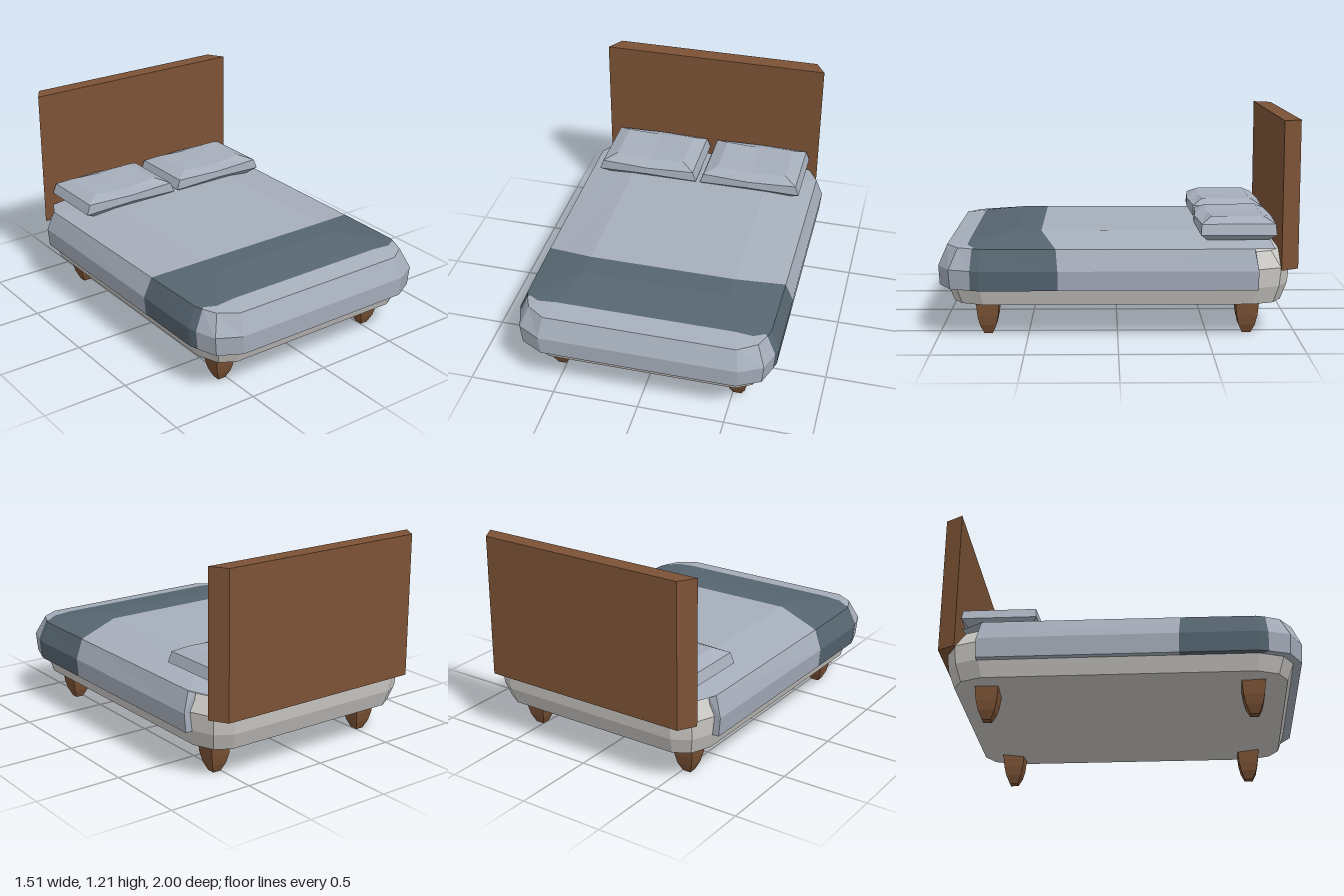
import * as THREE from 'three';

const mat = (name, color, side = THREE.FrontSide) =>
  new THREE.MeshStandardMaterial({ name, color, side, flatShading: true });

// Mesh from a flat list of triangle corners
function meshFrom(name, corners, material) {
  const g = new THREE.BufferGeometry();
  g.setAttribute('position', new THREE.Float32BufferAttribute(corners.flat(), 3));
  g.computeVertexNormals();
  const m = new THREE.Mesh(g, material);
  m.name = name;
  return m;
}

// Closed rings stacked from bottom to top, capped with fans
function loft(name, rings, bottom, top, material) {
  const t = [], n = rings[0].length;
  for (let j = 0; j < n; j++) {
    const k = (j + 1) % n;
    for (let i = 0; i < rings.length - 1; i++) {
      const a = rings[i][j], b = rings[i][k], c = rings[i + 1][k], d = rings[i + 1][j];
      t.push(a, d, c, a, c, b);
    }
    const last = rings[rings.length - 1];
    t.push(bottom, rings[0][j], rings[0][k], top, last[k], last[j]);
  }
  return meshFrom(name, t, material);
}

// Rectangle outline with two-step bevelled corners
function roundedRing(hx, hz, y, r) {
  const q = [[hx, hz - r], [hx - r * 0.28, hz - r * 0.3], [hx - r * 0.8, hz]];
  const m = q.slice().reverse();
  return [
    ...q.map(([x, z]) => [x, y, z]),
    ...m.map(([x, z]) => [-x, y, z]),
    ...q.map(([x, z]) => [-x, y, -z]),
    ...m.map(([x, z]) => [x, y, -z]),
  ];
}

function addBlanket(group, main, band) {
  // Each column runs up the side: hem, lower edge, widest line, rim, fold, top
  const column = (x, z, rx, rz, tx, tz, f, rimY = 0.51, topY = 0.565) => {
    const mix = (a, b) => a + (b - a) * f;
    return [
      [x * 0.93, 0.285, z > 0.7 ? z * 0.94 : z], [x - 0.01, 0.285, z > 0.9 ? z - 0.005 : z],
      [x, 0.395, z], [rx, rimY, rz],
      [mix(rx, tx), mix(rimY, topY), mix(rz, tz)], [tx, topY, tz],
    ];
  };
  const half = [
    column(0.755, -0.77, 0.65, -0.87, 0.43, -0.86, 0.2, 0.5, 0.53),
    column(0.755, -0.77, 0.715, -0.75, 0.43, -0.5, 0.2),
    column(0.755, 0.33, 0.71, 0.34, 0.43, 0.43, 0.2),
    column(0.755, 0.76, 0.705, 0.75, 0.43, 0.58, 0.2),
    column(0.74, 0.81, 0.69, 0.8, 0.43, 0.58, 0.05),
    column(0.70, 0.93, 0.655, 0.88, 0.43, 0.58, 0.17),
    column(0.57, 1.0, 0.55, 0.95, 0.43, 0.58, 0.33),
  ];
  const other = half.map(c => c.map(([x, y, z]) => [-x, y, z]));
  const cols = [...half, ...other.slice().reverse()];
  const plain = [], dark = [], n = cols.length;
  const quad = (list, a, b, c, d) => list.push(a, b, c, a, c, d);

  // Draped sides and front
  for (let i = 0; i < n - 1; i++) {
    const s = Math.min(i, n - 2 - i);
    for (let l = s === 0 ? 3 : 0; l < 5; l++) {
      const isBand = s === 2 || s === 3 || (s > 3 && l === 4);
      quad(isBand ? dark : plain, cols[i][l], cols[i][l + 1], cols[i + 1][l + 1], cols[i + 1][l]);
    }
  }
  // Flat top
  for (let i = 0; i < 3; i++)
    quad(i === 2 ? dark : plain, half[i][5], other[i][5], other[i + 1][5], half[i + 1][5]);
  // Cut ends beside the headboard
  const e = half[1], o = other[1];
  const inner = [0.675, 0.49, -0.76], innerO = [-0.675, 0.49, -0.76];
  plain.push(e[0], e[2], e[1], e[0], inner, e[2], inner, e[3], e[2]);
  plain.push(o[0], o[1], o[2], o[0], o[2], innerO, innerO, o[2], o[3]);

  group.add(meshFrom('blanket', plain, main), meshFrom('blanketBand', dark, band));
}

export function createModel() {
  const group = new THREE.Group();
  group.name = 'bed';
  const wood = mat('brown wood', 0x7b5235);
  const sheet = mat('pale sheet', 0xcac8c4);
  const cloth = mat('grey blue cloth', 0xa6aebb, THREE.DoubleSide);
  const throwCloth = mat('dark slate cloth', 0x566570, THREE.DoubleSide);

  // Mattress
  const inner = y => {
    const c = [[0.43, 0.6], [-0.43, 0.6], [-0.43, -0.6], [0.43, -0.6]];
    return c.flatMap(([x, z]) => [0, 1, 2].map(() => [x, y, z]));
  };
  group.add(loft('mattress', [
    inner(0.155),
    roundedRing(0.68, 0.915, 0.193, 0.17),
    roundedRing(0.71, 0.95, 0.29, 0.19),
    roundedRing(0.715, 0.96, 0.395, 0.19),
    roundedRing(0.675, 0.9, 0.485, 0.17),
    inner(0.53),
  ], [0, 0.155, 0], [0, 0.53, 0], sheet));

  addBlanket(group, cloth, throwCloth);

  // Pillows with bowed long edges and a slight dip in the middle
  const pillowRing = (hx, hz, y, bow, lift) => [
    [hx, y, 0], [hx, y, hz], [0, y + lift, hz + bow], [-hx, y, hz],
    [-hx, y, 0], [-hx, y, -hz], [0, y + lift, -hz - bow * 0.5], [hx, y, -hz],
  ];
  for (const s of [-1, 1]) {
    const p = loft(s > 0 ? 'leftPillow' : 'rightPillow', [
      pillowRing(0.25, 0.17, 0.535, 0.01, 0.01),
      pillowRing(0.315, 0.21, 0.573, 0.02, 0.02),
      pillowRing(0.293, 0.205, 0.632, 0.02, 0),
      pillowRing(0.215, 0.145, 0.665, 0.012, -0.012),
    ], [0, 0.535, 0], [0, 0.655, 0], cloth);
    p.position.set(s * 0.328, 0, -0.67);
    group.add(p);
  }

  // Headboard, narrower at the back
  const board = new THREE.BoxGeometry(1.39, 0.825, 0.1);
  const pos = board.attributes.position;
  for (let i = 0; i < pos.count; i++)
    if (pos.getZ(i) < 0) pos.setX(i, pos.getX(i) * 0.914);
  const headboard = new THREE.Mesh(board, wood);
  headboard.name = 'headboard';
  headboard.position.set(0, 0.7975, -0.95);
  group.add(headboard);

  // Four-sided tapered legs
  const profile = [[0, 0], [0.024, 0], [0.046, 0.05], [0.058, 0.105], [0.066, 0.19], [0, 0.19]]
    .map(([r, y]) => new THREE.Vector2(r * Math.SQRT2, y));
  const legShape = new THREE.LatheGeometry(profile, 4, Math.PI / 4);
  for (const x of [-0.527, 0.527]) for (const z of [-0.727, 0.727]) {
    const leg = new THREE.Mesh(legShape, wood);
    leg.name = (z > 0 ? 'front' : 'back') + (x > 0 ? 'Left' : 'Right') + 'Leg';
    leg.position.set(x, 0, z);
    group.add(leg);
  }
  return group;
}
